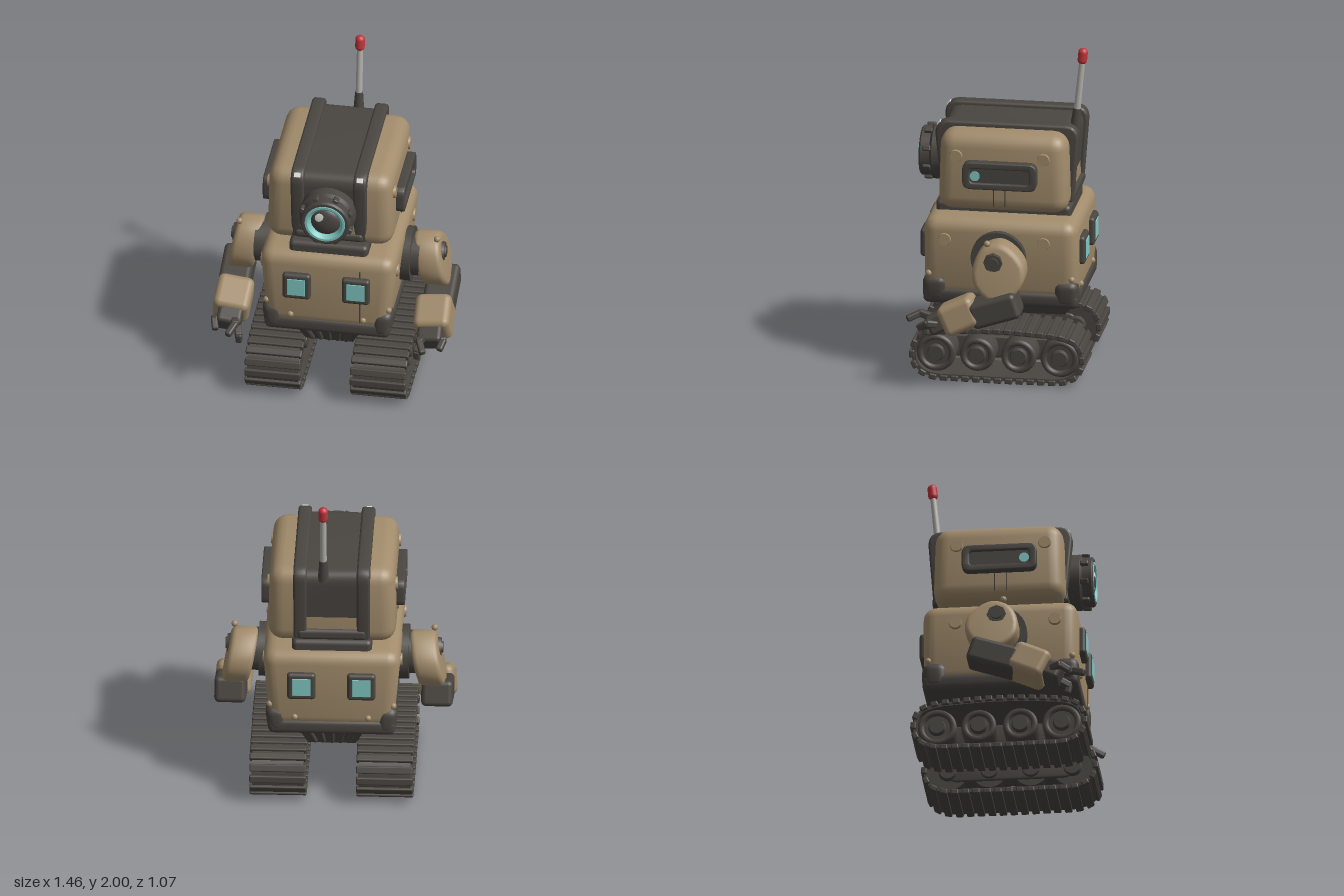
import * as THREE from 'three';
import { mergeGeometries, toCreasedNormals } from 'three/addons/utils/BufferGeometryUtils.js';
import { RoundedBoxGeometry } from 'three/addons/geometries/RoundedBoxGeometry.js';

const mat = (name, color) => {
  const m = new THREE.MeshStandardMaterial({ color });
  m.name = name;
  return m;
};
const tan = mat('tan paint', 0xa28c6c), dark = mat('dark metal', 0x4a4641), cyan = mat('cyan glass', 0x82cbc6);
const red = mat('red tip', 0xc2353b), grey = mat('grey rod', 0xb2b0aa), white = mat('white glint', 0xdcdcd8);

function add(group, name, geo, material) {
  const m = new THREE.Mesh(geo, material);
  m.name = name;
  group.add(m);
}
// Mirror across x with the winding corrected
function mirror(geo) {
  const g = geo.index ? geo.toNonIndexed() : geo.clone();
  g.scale(-1, 1, 1);
  for (const a of Object.values(g.attributes)) {
    const n = a.itemSize;
    for (let i = 0; i < a.count; i += 3)
      for (let k = 0; k < n; k++) {
        const p = (i + 1) * n + k, q = (i + 2) * n + k;
        [a.array[p], a.array[q]] = [a.array[q], a.array[p]];
      }
  }
  return g;
}
function pair(group, name, geo, material) {
  add(group, name + 'Left', geo, material);
  add(group, name + 'Right', mirror(geo), material);
}
// Rounded box centred at a point, optionally pitched about x and rolled about z
function rbox(w, h, d, r, x, y, z, pitch = 0, roll = 0) {
  return new RoundedBoxGeometry(w, h, d, 3, r).rotateX(pitch).rotateZ(roll).translate(x, y, z);
}
// Cylinder along x from x0 to x1
function cylX(r0, r1, x0, x1, y, z, n = 24) {
  return new THREE.CylinderGeometry(r1, r0, x1 - x0, n).rotateZ(-Math.PI / 2).translate((x0 + x1) / 2, y, z);
}
// Extrude a side outline given in (z, y) from x0 to x1
function sideExtrude(shape, x0, x1, b = 0) {
  const g = new THREE.ExtrudeGeometry(shape, {
    depth: x1 - x0 - 2 * b, bevelEnabled: b > 0, bevelThickness: b, bevelSize: b, bevelOffset: -b, bevelSegments: 3, curveSegments: 8
  });
  g.translate(0, 0, b).rotateY(-Math.PI / 2).translate(x1, 0, 0);
  return toCreasedNormals(g, 0.7);
}
function warp(geo, fn) {
  const p = geo.attributes.position, v = new THREE.Vector3();
  for (let i = 0; i < p.count; i++) {
    fn(v.fromBufferAttribute(p, i));
    p.setXYZ(i, v.x, v.y, v.z);
  }
  return toCreasedNormals(geo, 0.7);
}
const closedCurve = pts => new THREE.CatmullRomCurve3(pts.map(([z, y]) => new THREE.Vector3(z, y, 0)), true, 'centripetal');
function roundRect(z0, z1, y0, y1, r, T = THREE.Shape) {
  const s = new T();
  s.moveTo(z0 + r, y0).lineTo(z1 - r, y0).quadraticCurveTo(z1, y0, z1, y0 + r);
  s.lineTo(z1, y1 - r).quadraticCurveTo(z1, y1, z1 - r, y1).lineTo(z0 + r, y1);
  s.quadraticCurveTo(z0, y1, z0, y1 - r).lineTo(z0, y0 + r).quadraticCurveTo(z0, y0, z0 + r, y0);
  return s;
}
// Bar between two points
function bar(a, b, w, h) {
  const A = new THREE.Vector3(...a), B = new THREE.Vector3(...b);
  const q = new THREE.Quaternion().setFromUnitVectors(new THREE.Vector3(0, 0, 1), B.clone().sub(A).normalize());
  const c = A.clone().add(B).multiplyScalar(0.5);
  return new RoundedBoxGeometry(w, h, A.distanceTo(B) + 0.02, 2, 0.012).applyQuaternion(q).translate(c.x, c.y, c.z);
}

function makeHead() {
  const g = new THREE.Group();
  g.name = 'head';
  add(g, 'headShell', warp(rbox(0.76, 0.49, 0.78, 0.09, 0, 1.285, -0.015), v => {
    v.x *= 1 - 0.05 * (v.y - 1.28);
    v.z += 0.03 * (1.28 - v.y) * Math.sign(v.z);
  }), tan);
  // Dark band over the front, top and back, with raised rails
  const band = inset => {
    const s = new THREE.Shape(), k = inset, r = 0.09;
    s.moveTo(0.375 - k, 1.08).lineTo(0.415 - k, 1.56 - k - r).quadraticCurveTo(0.415 - k, 1.56 - k, 0.415 - k - r, 1.56 - k);
    s.lineTo(-0.37 + k, 1.56 - k).quadraticCurveTo(-0.455 + k, 1.56 - k, -0.45 + k, 1.56 - k - r);
    s.lineTo(-0.42 + k, 1.08).lineTo(0.375 - k, 1.08);
    return s;
  };
  add(g, 'bandPanel', sideExtrude(band(0.025), -0.17, 0.17), dark);
  pair(g, 'bandRail', sideExtrude(band(0), 0.15, 0.23, 0.015), dark);
  add(g, 'frontRail', rbox(0.42, 0.06, 0.06, 0.025, 0, 1.105, 0.36), dark);
  add(g, 'backRail', rbox(0.42, 0.07, 0.06, 0.025, 0, 1.11, -0.4), dark);
  pair(g, 'railGlint', rbox(0.04, 0.03, 0.008, 0.003, 0.19, 1.535, 0.397, -0.75), white);

  // Eye
  const lathe = pts => toCreasedNormals(new THREE.LatheGeometry(pts.map(p => new THREE.Vector2(...p)), 40)
    .rotateX(Math.PI / 2).translate(0, 1.29, 0), 0.6);
  const ringPts = [[0.17, 0.34], [0.168, 0.45], [0.15, 0.465], [0.15, 0.52], [0.14, 0.53], [0.124, 0.53], [0.12, 0.5], [0, 0.5]];
  add(g, 'eyeHousing', lathe(ringPts), dark);
  add(g, 'eyeRing', lathe([[0.124, 0.5], [0.122, 0.534], [0.108, 0.534], [0.09, 0.515], [0.09, 0.5]]), cyan);
  add(g, 'eyeLens', new THREE.SphereGeometry(0.088, 28, 16).scale(1, 1, 0.4).translate(0, 1.29, 0.5), dark);
  add(g, 'eyeGlint', new THREE.SphereGeometry(0.09, 14, 4, 0, Math.PI * 2, 0, 0.34).rotateX(Math.PI / 2)
    .rotateX(-0.5).rotateY(-0.5).scale(1, 1, 0.42).translate(0, 1.29, 0.5), white);
  for (let i = 0; i < 8; i++) {
    const a = (i + 0.5) * Math.PI / 4;
    add(g, 'eyeLug', rbox(0.045, 0.035, 0.05, 0.008, 0, 0, 0).translate(0.148, 0, 0.48).rotateZ(a).translate(0, 1.29, 0), dark);
  }

  // Ear pods
  const frame = roundRect(-0.23, 0.22, 1.2, 1.37, 0.05);
  frame.holes.push(roundRect(-0.185, 0.175, 1.24, 1.33, 0.025, THREE.Path));
  pair(g, 'earFrame', sideExtrude(frame, 0.36, 0.43, 0.008), dark);
  pair(g, 'earPlate', sideExtrude(roundRect(-0.2, 0.19, 1.225, 1.345, 0.03), 0.36, 0.412), dark);
  pair(g, 'earLight', cylX(0.03, 0.03, 0.412, 0.419, 1.28, 0.145), cyan);
  for (const z of [0.265, -0.265]) pair(g, 'headBolt', cylX(0.043, 0.036, 0.365, 0.39, 1.39, z), tan);
  for (const z of [0.035, -0.035]) pair(g, 'headSeam', rbox(0.006, 0.13, 0.006, 0.002, 0.383, 1.15, z), dark);

  // Antenna
  const at = geo => geo.rotateX(-0.1).translate(0.05, 1.48, -0.405);
  add(g, 'antennaBase', at(new THREE.CylinderGeometry(0.024, 0.034, 0.14, 20).translate(0, 0.07, 0)), dark);
  add(g, 'antennaRod', at(new THREE.CylinderGeometry(0.018, 0.021, 0.34, 20).translate(0, 0.3, 0)), grey);
  add(g, 'antennaTip', at(new THREE.CapsuleGeometry(0.029, 0.045, 6, 20).translate(0, 0.472, 0)), red);
  return g;
}

function makeTorso() {
  const g = new THREE.Group();
  g.name = 'torso';
  const taper = v => { v.x *= 1 - Math.max(0, 0.85 - v.y) * 0.28; };
  add(g, 'neck', rbox(0.48, 0.1, 0.82, 0.03, 0, 1.01, 0), dark);
  add(g, 'bodyShell', warp(rbox(0.82, 0.51, 0.93, 0.08, 0, 0.745, -0.003), taper), tan);
  // Dark skirt with raised corners
  add(g, 'skirt', warp(rbox(0.85, 0.1, 0.94, 0.035, 0, 0.5, -0.003), taper), dark);
  for (const z of [0.395, -0.4]) {
    pair(g, 'skirtCorner', warp(rbox(0.13, 0.17, 0.15, 0.05, 0.363, 0.54, z), taper), dark);
    pair(g, 'skirtRivet', new THREE.SphereGeometry(0.02, 12, 8).translate(0.22, 0.57, z * 1.165), tan);
    pair(g, 'cornerRivet', new THREE.SphereGeometry(0.02, 12, 8).translate(0.37, 0.64, z * 1.09), tan);
  }
  add(g, 'pelvis', warp(new THREE.BoxGeometry(0.42, 0.14, 0.84), v => {
    if (v.y < 0) { v.x *= 0.68; v.z *= 0.86; }
    v.y += 0.41;
  }), dark);
  for (const s of [1, -1]) {
    for (let i = -2; i <= 2; i++)
      add(g, 'pelvisRib', bar([i * 0.07, 0.46, s * 0.418], [i * 0.05, 0.355, s * 0.37], 0.03, 0.025), dark);
    // Windows
    pair(g, 'windowFrame', rbox(0.17, 0.175, 0.05, 0.02, 0.18, 0.79, s * 0.475), dark);
    pair(g, 'windowGlass', rbox(0.11, 0.115, 0.008, 0.003, 0.18, 0.79, s * 0.5), cyan);
    add(g, 'bodySeam', rbox(0.01, 0.37, 0.008, 0.003, 0.2, 0.735, s * 0.462), dark);
  }
  for (const z of [0.33, -0.27]) pair(g, 'bodyBolt', cylX(0.043, 0.036, 0.395, 0.418, 0.87, z), tan);
  pair(g, 'shoulderDisc', cylX(0.165, 0.165, 0.37, 0.45, 0.775, 0, 32), dark);
  pair(g, 'shoulderHub', cylX(0.13, 0.13, 0.44, 0.5, 0.775, 0, 32), dark);
  return g;
}

function makeArms() {
  const g = new THREE.Group();
  g.name = 'arms';
  const outline = closedCurve([[0.12, 0.8], [0.07, 0.885], [-0.02, 0.92], [-0.1, 0.89], [-0.18, 0.8], [-0.185, 0.7], [-0.11, 0.6], [0.02, 0.58], [0.12, 0.68]]);
  const s = new THREE.Shape(outline.getPoints(48).slice(0, -1).map(p => new THREE.Vector2(p.x, p.y)));
  pair(g, 'upperArm', warp(sideExtrude(s, 0.47, 0.63, 0.03), v => { v.x += (0.82 - v.y) * 0.2; }), tan);
  pair(g, 'armBolt', cylX(0.062, 0.056, 0.62, 0.642, 0.81, 0, 8), dark);
  pair(g, 'armBoltCap', cylX(0.04, 0.035, 0.63, 0.652, 0.81, 0, 8), dark);
  pair(g, 'armRivet', new THREE.SphereGeometry(0.02, 12, 8).translate(0.6, 0.92, 0.04), tan);
  pair(g, 'elbow', rbox(0.19, 0.16, 0.3, 0.03, 0.62, 0.525, -0.015, 0.32), dark);
  pair(g, 'forearm', rbox(0.22, 0.19, 0.23, 0.04, 0.61, 0.47, 0.2, 0.44, 0.12), tan);
  pair(g, 'palm', rbox(0.15, 0.12, 0.12, 0.025, 0.61, 0.415, 0.335, 0.44, 0.12), dark);
  // Fingers: two joints each
  for (const [a, b, c] of [
    [[0.57, 0.43, 0.38], [0.56, 0.45, 0.45], [0.59, 0.42, 0.52]],
    [[0.67, 0.42, 0.34], [0.695, 0.43, 0.39], [0.68, 0.4, 0.44]],
    [[0.56, 0.39, 0.37], [0.54, 0.36, 0.43], [0.54, 0.315, 0.42]]
  ]) {
    pair(g, 'fingerBase', bar(a, b, 0.045, 0.045), dark);
    pair(g, 'fingerTip', bar(b, c, 0.04, 0.04), dark);
  }
  return g;
}

function makeTracks() {
  const g = new THREE.Group();
  g.name = 'tracks';
  const half = [[0.51, 0.16], [0.48, 0.255], [0.4, 0.295], [0.2, 0.315]];
  const low = [[0.2, 0.024], [0.41, 0.034], [0.485, 0.08]];
  const flip = pts => pts.map(([z, y]) => [-z, y]).reverse();
  const loop = closedCurve([...half, [0, 0.322], ...flip(half), ...flip(low), ...low]);
  // Belt ring
  const ring = d => Array.from({ length: 90 }, (_, i) => {
    const p = loop.getPointAt(i / 90), t = loop.getTangentAt(i / 90);
    return new THREE.Vector2(p.x + t.y * d, p.y - t.x * d);
  });
  const belt = new THREE.Shape(ring(0.008));
  belt.holes.push(new THREE.Path(ring(-0.016)));
  pair(g, 'belt', sideExtrude(belt, 0.165, 0.475), dark);
  // Tread plates
  const plates = [];
  for (let i = 0; i < 36; i++) {
    const p = loop.getPointAt(i / 36), t = loop.getTangentAt(i / 36);
    plates.push(rbox(0.34, 0.034, 0.046, 0.008, 0.32, p.y, p.x, Math.atan2(-t.y, t.x)).translate(0, -t.x * 0.006, t.y * 0.006));
  }
  pair(g, 'treads', mergeGeometries(plates), dark);
  pair(g, 'innerFrame', sideExtrude(roundRect(-0.37, 0.37, 0.1, 0.235, 0.05), 0.19, 0.3, 0.01), dark);
  // Road wheels
  for (const [z, r] of [[0.375, 0.118], [0.125, 0.106], [-0.125, 0.106], [-0.375, 0.118]]) {
    pair(g, 'wheel', cylX(r, r, 0.2, 0.44, 0.165, z, 28), dark);
    pair(g, 'wheelRim', new THREE.TorusGeometry(r - 0.02, 0.02, 8, 28).rotateY(Math.PI / 2).translate(0.44, 0.165, z), dark);
    pair(g, 'wheelHub', cylX(0.058, 0.045, 0.43, 0.465, 0.165, z, 16), dark);
    pair(g, 'innerHub', cylX(0.05, 0.06, 0.17, 0.21, 0.165, z, 16), dark);
  }
  return g;
}

export function createModel() {
  const model = new THREE.Group();
  model.name = 'trackedRobot';
  model.add(makeHead(), makeTorso(), makeArms(), makeTracks());
  return model;
}
